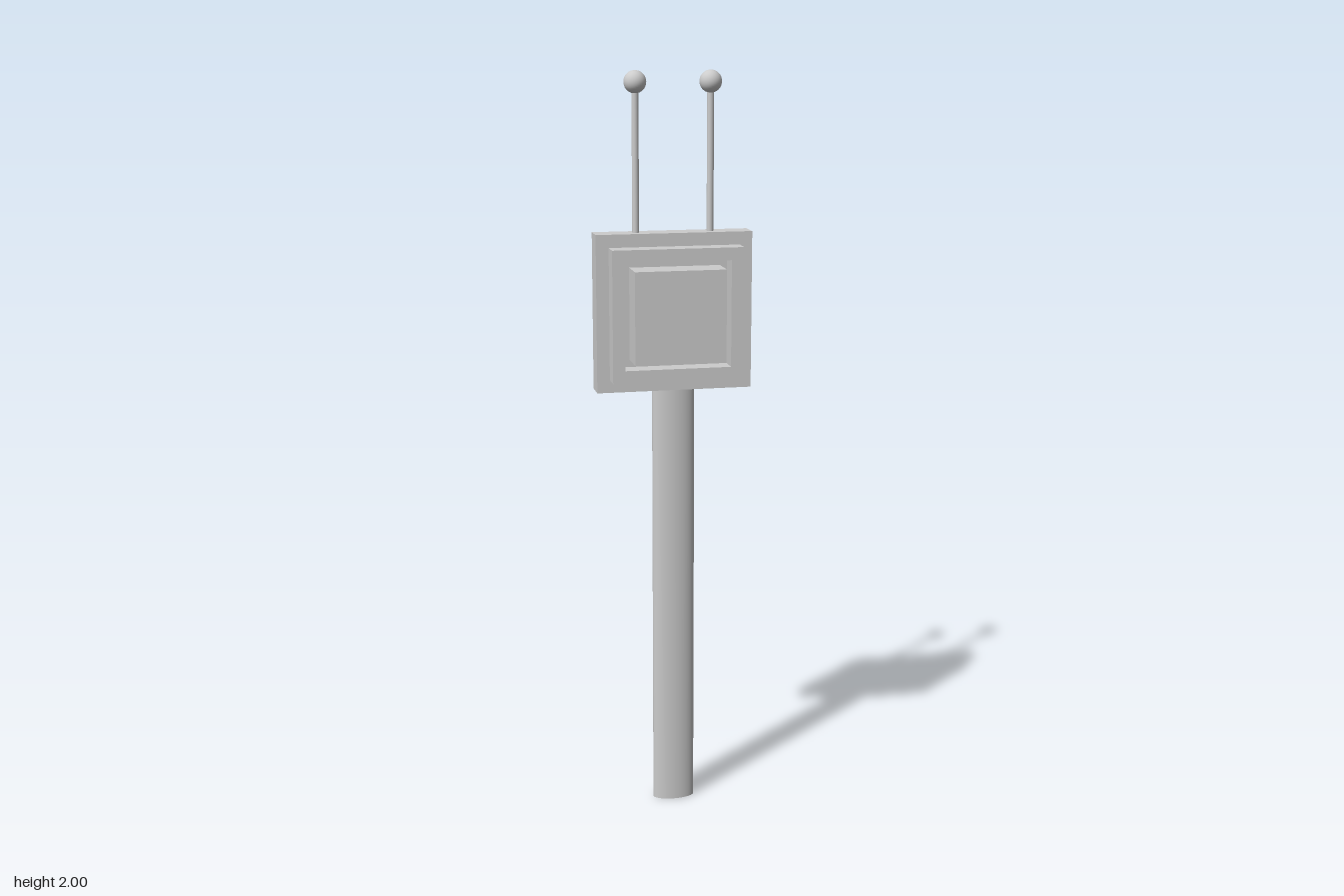
import * as THREE from 'three';

export function createModel() {
  const model = new THREE.Group();
  const material = new THREE.MeshStandardMaterial({ color: 0xcccccc });
  const openMaterial = new THREE.MeshStandardMaterial({ color: 0xcccccc, side: THREE.DoubleSide });
  const midY = 1.383;

  const add = (name, geometry, x, y, z, mat = material) => {
    const mesh = new THREE.Mesh(geometry, mat);
    mesh.name = name;
    mesh.position.set(x, y, z);
    model.add(mesh);
    return mesh;
  };

  // Oval hollow handle, open at the bottom
  const pole = add('handle', new THREE.CylinderGeometry(0.057, 0.057, 1.177, 48, 1, true), 0.001, 0.5885, -0.04, openMaterial);
  pole.scale.z = 0.49;

  // Square back plate
  add('backPlate', new THREE.BoxGeometry(0.413, 0.414, 0.062), -0.001, midY, -0.042);

  // Raised frame with a square opening
  const square = (Type, h) => new Type([
    new THREE.Vector2(-h, -h), new THREE.Vector2(h, -h),
    new THREE.Vector2(h, h), new THREE.Vector2(-h, h),
  ]);
  const outline = square(THREE.Shape, 0.173);
  outline.holes.push(square(THREE.Path, 0.14));
  add('frame', new THREE.ExtrudeGeometry(outline, { depth: 0.052, bevelEnabled: false }), -0.001, midY, -0.011);

  // Central block standing proud of the frame
  add('centreBlock', new THREE.BoxGeometry(0.24, 0.242, 0.083), -0.001, midY, 0.0305);

  // Pair of ball-tipped antennas
  for (const [side, x] of [['left', 0.1], ['right', -0.097]]) {
    add(side + 'AntennaRod', new THREE.CylinderGeometry(0.009, 0.009, 0.37, 20), x, 1.77, -0.044);
    add(side + 'AntennaBall', new THREE.SphereGeometry(0.029, 32, 20), x, 1.971, -0.044);
  }

  return model;
}
